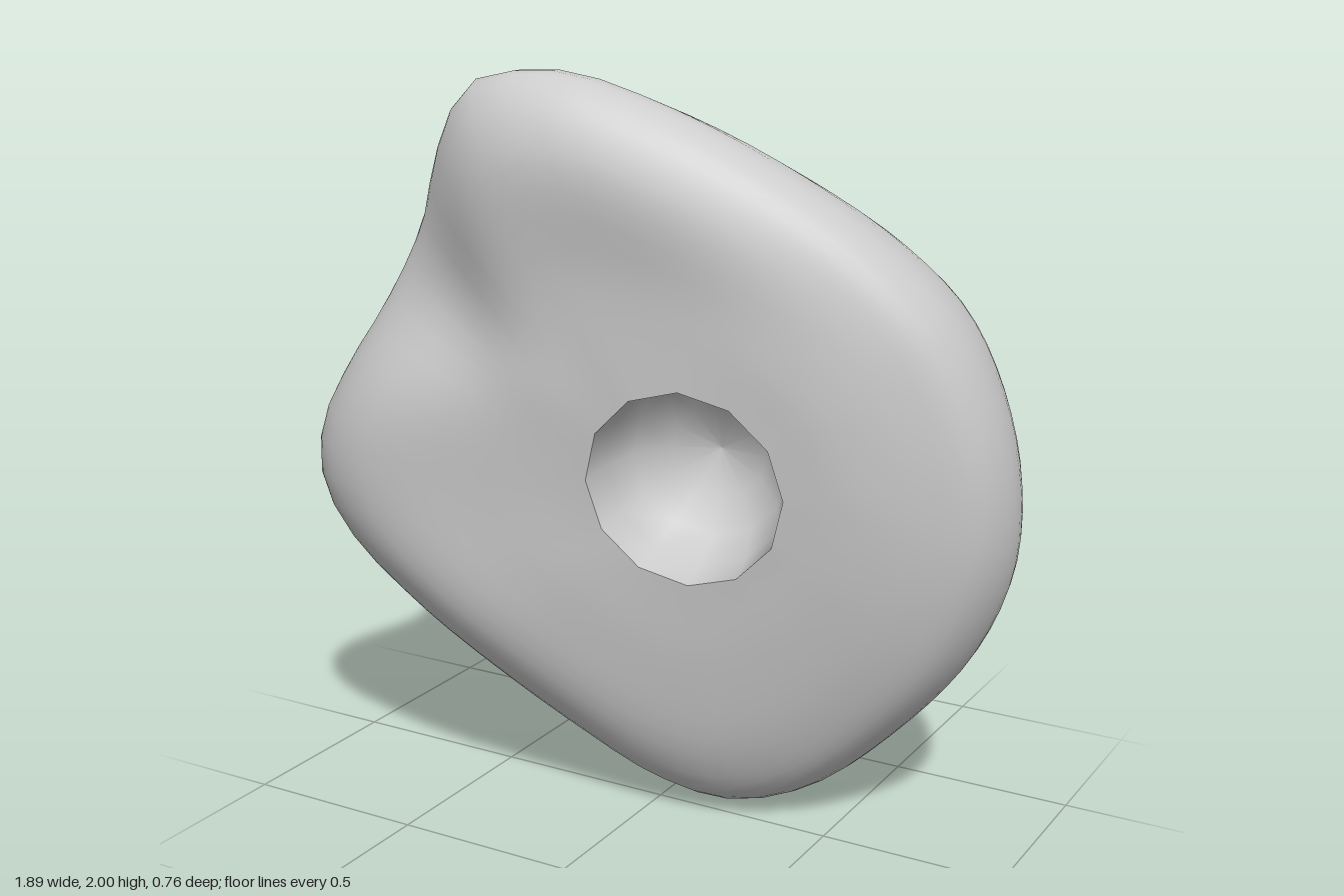
import * as THREE from 'three';

const CX = 0.2, CY = 0.98;      // centre of the bolt hole
const SIDES = 72, STEPS = 28, HOLE_SIDES = 12;
const BACK = -0.375;

// Closed outlines (x, y): widest contour and flat back face
const widest = [
  [0.2, 0], [0.4, 0.07], [0.63, 0.27], [0.83, 0.52], [0.93, 0.77], [0.94, 1.0], [0.89, 1.23],
  [0.79, 1.44], [0.63, 1.61], [0.45, 1.74], [0.24, 1.86], [0.03, 1.95], [-0.14, 2.0], [-0.27, 2.0],
  [-0.37, 1.98], [-0.45, 1.9], [-0.52, 1.75], [-0.57, 1.61], [-0.64, 1.48], [-0.73, 1.34],
  [-0.84, 1.18], [-0.93, 1.01], [-0.945, 0.85], [-0.87, 0.69], [-0.69, 0.51], [-0.46, 0.33],
  [-0.23, 0.17], [0, 0.04],
];
const backFace = [
  [0.17, 0.17], [0.345, 0.23], [0.59, 0.48], [0.77, 0.755], [0.8, 0.97], [0.75, 1.19],
  [0.65, 1.35], [0.49, 1.44], [0.345, 1.47], [0.15, 1.445], [-0.08, 1.39], [-0.31, 1.325],
  [-0.36, 1.21], [-0.32, 0.9], [-0.255, 0.61], [-0.12, 0.365], [0.01, 0.24],
];

// Returns a function giving an outline's distance from the hole centre at an angle
function radial(points) {
  const curve = new THREE.CatmullRomCurve3(points.map(([x, y]) => new THREE.Vector3(x - CX, y - CY, 0)), true);
  const p = curve.getPoints(500);
  return (angle) => {
    const c = Math.cos(angle), s = Math.sin(angle);
    for (let i = 0; i < p.length - 1; i++) {
      const a = p[i], b = p[i + 1];
      const da = c * a.y - s * a.x, db = c * b.y - s * b.x;
      if (da <= 0 && db > 0) {
        const t = da / (da - db);
        const r = c * (a.x + t * (b.x - a.x)) + s * (a.y + t * (b.y - a.y));
        if (r > 0) return r;
      }
    }
    return 0;
  };
}

// Skins a ring of cross-sections (arrays of Vector3) into a smooth closed band
function loft(name, sections, material) {
  const n = sections.length, m = sections[0].length;
  const position = [], index = [];
  sections.forEach((section) => section.forEach((v) => position.push(v.x, v.y, v.z)));
  for (let i = 0; i < n; i++) {
    const k = (i + 1) % n;
    for (let j = 0; j < m - 1; j++) {
      const a = i * m + j, b = k * m + j;
      index.push(a, b, b + 1, a, b + 1, a + 1);
    }
  }
  const geometry = new THREE.BufferGeometry();
  geometry.setAttribute('position', new THREE.Float32BufferAttribute(position, 3));
  geometry.setIndex(index);
  geometry.computeVertexNormals();
  const mesh = new THREE.Mesh(geometry, material);
  mesh.name = name;
  return mesh;
}

// Soft bump around an angle
const bump = (angle, centre, width) => Math.exp(-(((angle - centre) / width) ** 2));

export function createModel() {
  const group = new THREE.Group();
  group.name = 'climbingHold';
  const material = new THREE.MeshStandardMaterial({ color: 0xcccccc });
  const widestRadius = radial(widest), backRadius = radial(backFace);

  const body = [], back = [], hole = [];
  for (let i = 0; i < SIDES; i++) {
    const angle = (i / SIDES) * Math.PI * 2;
    const cos = Math.cos(angle), sin = Math.sin(angle);
    const at = (r, z) => new THREE.Vector3(CX + r * cos, CY + r * sin, z);
    // Tilted planes carrying the widest contour, the front and the hole rim
    const plane = (r, z, kx, ky) => z + kx * r * cos + ky * r * sin;

    // Groove between the lobes, turning towards the top of the hole as it runs in
    const groove = bump(angle, 2.57, 0.28), valley = bump(angle, 2.2, 0.7);
    const ridge = bump(angle, 1.6, 0.5), lowerEdge = bump(angle, 3.75, 0.4);

    const rB = backRadius(angle), rS = widestRadius(angle);
    const zS = plane(rS, 0.0, -0.19, 0.15);
    // Side wall between the back and the widest contour, flatter on the side lobe
    const bulge = 0.12 - 0.05 * groove - 0.05 * bump(angle, 3.2, 0.5);
    const dr = rS - rB, dz = zS - BACK, t = 0.5 - 0.1 * groove;
    const rF = rS * 0.8;
    const zF = plane(rF, 0.2, -0.2, 0.11) - 0.09 * groove + 0.015 * ridge + 0.025 * lowerEdge;

    // Straight-sided hole rim
    const step = (Math.PI * 2) / HOLE_SIDES;
    const rR = 0.26 * Math.cos(step / 2) / Math.cos((angle % step) - step / 2);
    const zR = plane(rR, 0.24, -0.16, 0.11);
    const rG = (rF + rR) / 2;
    const zG = plane(rG, 0.235, -0.18, 0.11) - 0.025 * valley + 0.015 * lowerEdge;

    const profile = new THREE.CatmullRomCurve3([
      at(rB, BACK),
      at(rB + dr * t + dz * bulge, BACK + dz * t - dr * bulge),
      at(rS, zS),
      at(rS * 0.95, zS + (zF - zS) * 0.62),
      at(rF, zF),
      at(rG, zG),
      at(rR, zR),
    ]);
    body.push(profile.getPoints(STEPS));
    back.push([at(0, BACK), at(rB, BACK)]);

    // Rounded blind recess, sunk square to the tilted front
    if (i % (SIDES / HOLE_SIDES) === 0) {
      hole.push([[1, 0], [0.95, 0.1], [0.8, 0.2], [0.5, 0.27], [0, 0.3]].map(([k, depth]) => {
        const v = at(rR * k, 0.24 + (zR - 0.24) * k - depth);
        return v.add(new THREE.Vector3(-0.16 * depth, 0.11 * depth, 0));
      }));
    }
  }

  group.add(
    loft('holdBody', body, material),
    loft('flatBack', back, material),
    loft('boltRecess', hole, material),
  );
  return group;
}
